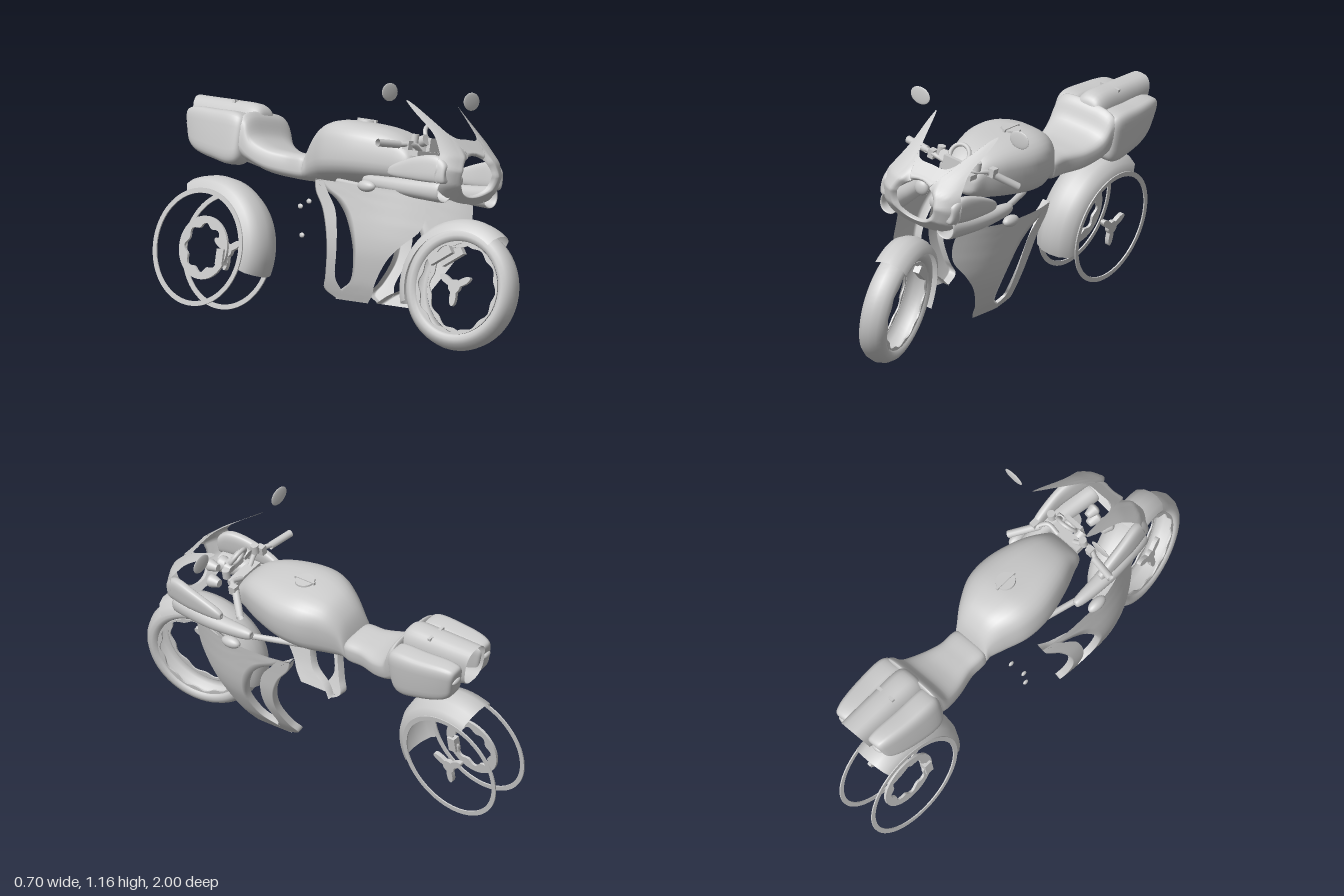
import * as THREE from 'three';

const mat = new THREE.MeshStandardMaterial({ color: 0xcccccc, side: THREE.DoubleSide });
const V = (x, y, z) => new THREE.Vector3(x, y, z);

function add(parent, name, geo, x = 0, y = 0, z = 0) {
  const m = new THREE.Mesh(geo, mat);
  m.name = name;
  m.position.set(x, y, z);
  parent.add(m);
  return m;
}

// Smoothly interpolates rows of points, then skins them
function loft(keys, steps, closed = false) {
  const curves = keys[0].map((_, c) => new THREE.CatmullRomCurve3(keys.map(r => r[c])));
  const n = curves.length, pos = [], idx = [];
  for (let i = 0; i <= steps; i++) for (const c of curves) pos.push(...c.getPoint(i / steps).toArray());
  for (let i = 0; i < steps; i++) {
    for (let j = 0; j < (closed ? n : n - 1); j++) {
      const a = i * n + j, b = i * n + (j + 1) % n;
      idx.push(a, b, a + n, b, b + n, a + n);
    }
  }
  const g = new THREE.BufferGeometry();
  g.setAttribute('position', new THREE.Float32BufferAttribute(pos, 3));
  g.setIndex(idx);
  g.computeVertexNormals();
  return g;
}

// Rounded-box cross-section; sections are [z, bottom, top, halfWidth, centreX]
function section([z, yb, yt, w, cx = 0], power) {
  const row = [];
  for (let i = 0; i < 32; i++) {
    const a = i / 32 * Math.PI * 2, c = Math.cos(a), s = Math.sin(a);
    row.push(V(cx + w * Math.sign(c) * Math.abs(c) ** power,
      (yb + yt) / 2 + (yt - yb) / 2 * Math.sign(s) * Math.abs(s) ** power, z));
  }
  return row;
}
function hull(keys, { power = 0.7, capEnd = true, steps = 40 } = {}) {
  const rows = keys.map(k => section(k, power));
  const cap = k => section([k[0], (k[1] + k[2]) / 2 - 0.001, (k[1] + k[2]) / 2 + 0.001, 0.001, k[4]], power);
  rows.unshift(cap(keys[0]));
  if (capEnd) rows.push(cap(keys[keys.length - 1]));
  return loft(rows, steps, true);
}
// Slants the rear end of a tail part so its lower edge sits further forward
function slant(geo) {
  const p = geo.attributes.position;
  for (let i = 0; i < p.count; i++) {
    const t = THREE.MathUtils.clamp((-0.6 - p.getZ(i)) / 0.3, 0, 1);
    p.setZ(i, p.getZ(i) + t * 0.28 * (0.95 - p.getY(i)));
  }
  geo.computeVertexNormals();
  return geo;
}

// Revolved around the wheel axle (x); angle 0 points forward, 90 up
function revolve(profile, from = 0, to = 360) {
  const r = THREE.MathUtils.degToRad;
  return new THREE.LatheGeometry(profile.map(p => new THREE.Vector2(...p)), 64, r(from), r(to - from)).rotateZ(Math.PI / 2);
}
function polar(fn, n = 120) {
  return Array.from({ length: n }, (_, i) => {
    const a = i / n * Math.PI * 2;
    return new THREE.Vector2(Math.cos(a) * fn(a), Math.sin(a) * fn(a));
  });
}
// Flat wheel plate from polar outlines, facing sideways
function plate(outer, inner, depth) {
  const s = new THREE.Shape(polar(outer));
  if (inner) s.holes.push(new THREE.Path(polar(inner)));
  return new THREE.ExtrudeGeometry(s, { depth, bevelEnabled: false, curveSegments: 1 })
    .translate(0, 0, -depth / 2).rotateY(Math.PI / 2);
}
const spider = () => plate(a => 0.03 + 0.058 * Math.max(0, Math.cos(3 * a - Math.PI / 2)) ** 2, null, 0.02);
const tube = (pts, r) => new THREE.TubeGeometry(new THREE.CatmullRomCurve3(pts.map(p => V(...p))), 24, r, 12);

function frontWheel(bike) {
  const w = new THREE.Group();
  w.name = 'frontWheel';
  w.position.set(0, 0.283, 0.735);
  w.rotation.y = 0.2;
  bike.add(w);
  add(w, 'frontTyre', revolve([[0.205, -0.045], [0.212, -0.058], [0.23, -0.064], [0.25, -0.056], [0.267, -0.034],
    [0.275, 0], [0.267, 0.034], [0.25, 0.056], [0.23, 0.064], [0.212, 0.058], [0.205, 0.045]]));
  for (const s of [-1, 1]) {
    add(w, 'frontBrakeDisc', plate(() => 0.205, a => 0.191 + 0.006 * Math.cos(12 * a), 0.007), s * 0.05);
    const c = add(w, 'frontCaliper', new THREE.BoxGeometry(0.03, 0.035, 0.12), s * 0.052, 0.13, -0.1);
    c.rotation.x = -0.6;
  }
  add(w, 'frontHubSpider', spider(), -0.07, 0.005, 0);
  add(w, 'frontFender', revolve([[0.25, -0.08], [0.28, -0.068], [0.299, -0.035], [0.305, 0],
    [0.299, 0.035], [0.28, 0.068], [0.25, 0.08]], 55, 200));
}

function rearWheel(bike) {
  const w = new THREE.Group();
  w.name = 'rearWheel';
  w.position.set(0, 0.297, -0.74);
  bike.add(w);
  for (const s of [-1, 1]) add(w, 'rimRing', plate(() => 0.26, () => 0.238, 0.006), s * 0.1);
  add(w, 'rearBrakeDisc', plate(() => 0.14, a => 0.1 + 0.009 * Math.cos(8 * a), 0.012), -0.06);
  add(w, 'rearCaliper', new THREE.BoxGeometry(0.035, 0.07, 0.04), -0.06, -0.03, 0.11);
  add(w, 'rearHubSpider', spider(), 0.1);
  add(w, 'rearFender', revolve([[0.25, -0.1], [0.29, -0.088], [0.312, -0.045], [0.318, 0],
    [0.312, 0.045], [0.29, 0.088], [0.25, 0.1]], -18, 115), 0, 0.005, 0);
}

// Lower fairing: curved skin cut into a broad blade and a rear prong
const skinX = (y, z) => 0.255 - 0.9 * Math.max(0, 0.5 - y) ** 2 - 1.1 * Math.max(0, z - 0.3) ** 2 - 0.6 * Math.max(0, 0.2 - z) ** 2;
function strip(rows) {
  return loft(rows.map(([y, zf, zb]) => {
    const row = [];
    for (let i = 0; i <= 10; i++) {
      const z = zf + (zb - zf) * i / 10;
      row.push(V(skinX(y, z), y, z));
    }
    row.push(V(skinX(y, zb) - 0.035, y, zb + 0.005));
    return row;
  }), 40);
}

function sideParts(bike, side) {
  const g = new THREE.Group();
  g.name = side > 0 ? 'leftFairing' : 'rightFairing';
  g.scale.x = side;
  bike.add(g);
  add(g, 'fairingBlade', strip([[0.67, 0.56, 0], [0.64, 0.59, 0.05], [0.6, 0.6, 0.15], [0.55, 0.6, 0.21], [0.5, 0.585, 0.245],
    [0.43, 0.52, 0.275], [0.36, 0.46, 0.285], [0.25, 0.39, 0.255], [0.2, 0.365, 0.18], [0.16, 0.33, 0.14]]));
  add(g, 'fairingProng', strip([[0.665, 0.06, 0], [0.62, 0.1, 0.015], [0.55, 0.16, 0.075], [0.46, 0.185, 0.115],
    [0.36, 0.185, 0.125], [0.25, 0.165, 0.1], [0.2, 0.19, 0.08], [0.165, 0.2, 0.14]]));
  add(g, 'indicator', new THREE.SphereGeometry(0.026, 24, 16).scale(1, 1, 1.9), 0.25, 0.67, 0.32);
  // Air duct, and the pod forming the cowl flank above it
  add(g, 'airDuct', hull([[0.6, 0.67, 0.71, 0.025, 0.16], [0.685, 0.65, 0.735, 0.04, 0.155], [0.69, 0.645, 0.74, 0.046, 0.155],
    [0.6, 0.645, 0.735, 0.048, 0.17], [0.42, 0.655, 0.725, 0.038, 0.19], [0.25, 0.675, 0.71, 0.015, 0.19]], { power: 0.9 }));
  add(g, 'cowlFlank', hull([[0.71, 0.73, 0.81, 0.02, 0.178], [0.66, 0.725, 0.845, 0.025, 0.188],
    [0.55, 0.725, 0.83, 0.022, 0.203], [0.4, 0.735, 0.765, 0.012, 0.203]], { power: 0.7 }));
  add(g, 'mirror', new THREE.SphereGeometry(1, 28, 16).scale(0.052, 0.04, 0.006), 0.273, 1.093, 0.402);
  add(g, 'tailPod', slant(hull([[-0.53, 0.71, 0.88, 0.05, 0.11], [-0.56, 0.68, 0.905, 0.06, 0.118], [-0.7, 0.69, 0.91, 0.06, 0.118],
    [-0.86, 0.72, 0.905, 0.05, 0.105], [-0.9, 0.75, 0.885, 0.038, 0.1]], { power: 0.5 })));
  add(g, 'tailLight', new THREE.SphereGeometry(1, 20, 12).scale(0.028, 0.014, 0.012), 0.105, 0.83, -0.87);
  add(g, 'cowlBracket', tube([[0.17, 0.66, 0.3], [0.1, 0.67, 0.02]], 0.014));
}

// Nose cowl: skin between the lamp opening and an outline with two slim tall horns
function cowl(bike) {
  const half = [[0, 0.93], [0.07, 0.932], [0.102, 0.955], [0.128, 1], [0.152, 1.05], [0.17, 1.068], [0.175, 1.03],
    [0.169, 0.945], [0.19, 0.87], [0.213, 0.8], [0.207, 0.74], [0.175, 0.69], [0.09, 0.658], [0, 0.65]];
  const zc = [[0.65, 0.68], [0.72, 0.74], [0.79, 0.76], [0.85, 0.735], [0.93, 0.64], [1, 0.54], [1.08, 0.43]];
  // Flat across the middle, swept back at the sides
  const depth = (x, y) => {
    const i = Math.max(1, zc.findIndex(p => p[0] > y));
    const [a, b] = [zc[i - 1], zc[i]];
    return THREE.MathUtils.mapLinear(y, a[0], b[0], a[1], b[1]) - 40 * x ** 4;
  };
  const loop = [...half, ...half.slice(1, -1).reverse().map(([x, y]) => [-x, y])];
  const outline = new THREE.CatmullRomCurve3(loop.map(([x, y]) => V(x, y, 0)), true, 'centripetal');
  const rows = [];
  for (let k = 0; k <= 6; k++) {
    const row = [];
    for (let i = 0; i <= 104; i++) {
      const p = outline.getPoint(i / 104), a = Math.atan2(p.x, p.y - 0.775);
      const x = THREE.MathUtils.lerp(0.1 * Math.sin(a), p.x, k / 6);
      const y = THREE.MathUtils.lerp(0.775 + 0.088 * Math.cos(a), p.y, k / 6);
      row.push(V(x, y, depth(x, y) - (k === 0 ? 0.025 : 0)));
    }
    rows.push(row);
  }
  add(bike, 'noseCowl', loft(rows, 12));
  // Lamp cluster
  for (const [x, y, r] of [[-0.057, 0.785, 0.036], [0.018, 0.828, 0.027], [0.025, 0.745, 0.03]]) {
    add(bike, 'lamp', new THREE.SphereGeometry(r, 24, 16).scale(1, 1, 0.6), x, y, 0.6);
    add(bike, 'lampHousing', new THREE.CylinderGeometry(r, r * 0.6, 0.04, 24).rotateX(Math.PI / 2), x, y, 0.575);
  }
}

function controls(bike) {
  const g = new THREE.Group();
  g.name = 'controls';
  bike.add(g);
  add(g, 'rightBar', tube([[-0.04, 0.85, 0.42], [-0.12, 0.875, 0.44], [-0.19, 0.87, 0.415]], 0.011));
  add(g, 'rightGrip', tube([[-0.18, 0.87, 0.415], [-0.3, 0.867, 0.395]], 0.017));
  add(g, 'leftBar', tube([[0.04, 0.85, 0.4], [0.1, 0.87, 0.4], [0.13, 0.87, 0.36]], 0.011));
  add(g, 'leftGrip', tube([[0.12, 0.87, 0.37], [0.225, 0.81, 0.265]], 0.017));
  add(g, 'topClamp', new THREE.BoxGeometry(0.17, 0.025, 0.05), 0, 0.84, 0.42);
  add(g, 'instrumentPanel', new THREE.BoxGeometry(0.1, 0.06, 0.02), 0, 0.885, 0.47);
  add(g, 'gaugeRing', new THREE.TorusGeometry(0.048, 0.01, 12, 32).rotateX(-0.5), 0.005, 0.925, 0.44);
  for (const s of [-1, 1]) {
    add(g, 'smallGauge', new THREE.CylinderGeometry(0.025, 0.025, 0.03, 24).rotateX(1.2), s * 0.06, 0.9, 0.45);
    add(g, 'switchBlock', new THREE.BoxGeometry(0.03, 0.04, 0.035), s * 0.14, 0.872, s > 0 ? 0.36 : 0.43);
    add(g, 'fluidCup', new THREE.CylinderGeometry(0.018, 0.018, 0.04, 20), s * 0.1, 0.905, 0.43);
  }
}

export function createModel() {
  const model = new THREE.Group();
  model.name = 'motorcycle';
  // The whole bike leans to one side
  const bike = new THREE.Group();
  bike.name = 'leaningBike';
  bike.position.x = -0.18;
  bike.rotation.z = -0.2;
  model.add(bike);
  frontWheel(bike);
  rearWheel(bike);
  for (const s of [-1, 1]) sideParts(bike, s);
  cowl(bike);
  controls(bike);

  // Tank, filler cap and seat
  add(bike, 'tank', hull([[0.4, 0.74, 0.83, 0.08], [0.34, 0.71, 0.895, 0.11], [0.25, 0.695, 0.93, 0.15], [0.1, 0.68, 0.945, 0.19],
    [-0.02, 0.668, 0.943, 0.183], [-0.12, 0.66, 0.91, 0.137], [-0.18, 0.655, 0.84, 0.103], [-0.21, 0.655, 0.73, 0.088]], { steps: 54 }));
  add(bike, 'fillerCap', new THREE.CylinderGeometry(0.044, 0.046, 0.016, 32), 0, 0.946, 0.055);
  add(bike, 'capHandle', new THREE.BoxGeometry(0.012, 0.014, 0.11), 0, 0.951, 0.055);
  add(bike, 'seat', hull([[-0.2, 0.66, 0.76, 0.09], [-0.3, 0.655, 0.768, 0.1], [-0.4, 0.665, 0.78, 0.13],
    [-0.48, 0.69, 0.82, 0.152], [-0.52, 0.7, 0.9, 0.16], [-0.545, 0.72, 0.92, 0.16]], { power: 0.55 }));

  // Central tail tube, open at the rear, with a strap across it
  add(bike, 'tailTube', slant(hull([[-0.53, 0.72, 0.92, 0.065], [-0.56, 0.71, 0.95, 0.075], [-0.7, 0.72, 0.958, 0.075],
    [-0.83, 0.74, 0.958, 0.072], [-0.92, 0.76, 0.958, 0.068]], { power: 0.75, capEnd: false })));
  add(bike, 'tailStrap', new THREE.BoxGeometry(0.1, 0.012, 0.015), 0, 0.95, -0.69);

  // Small loose fasteners
  for (const [x, y, z] of [[-0.166, 0.415, -0.09], [-0.126, 0.566, -0.11], [-0.19, 0.54, -0.1]]) {
    add(bike, 'fastener', new THREE.SphereGeometry(0.014, 16, 10).scale(0.5, 0.8, 1), x, y, z);
  }
  return model;
}
